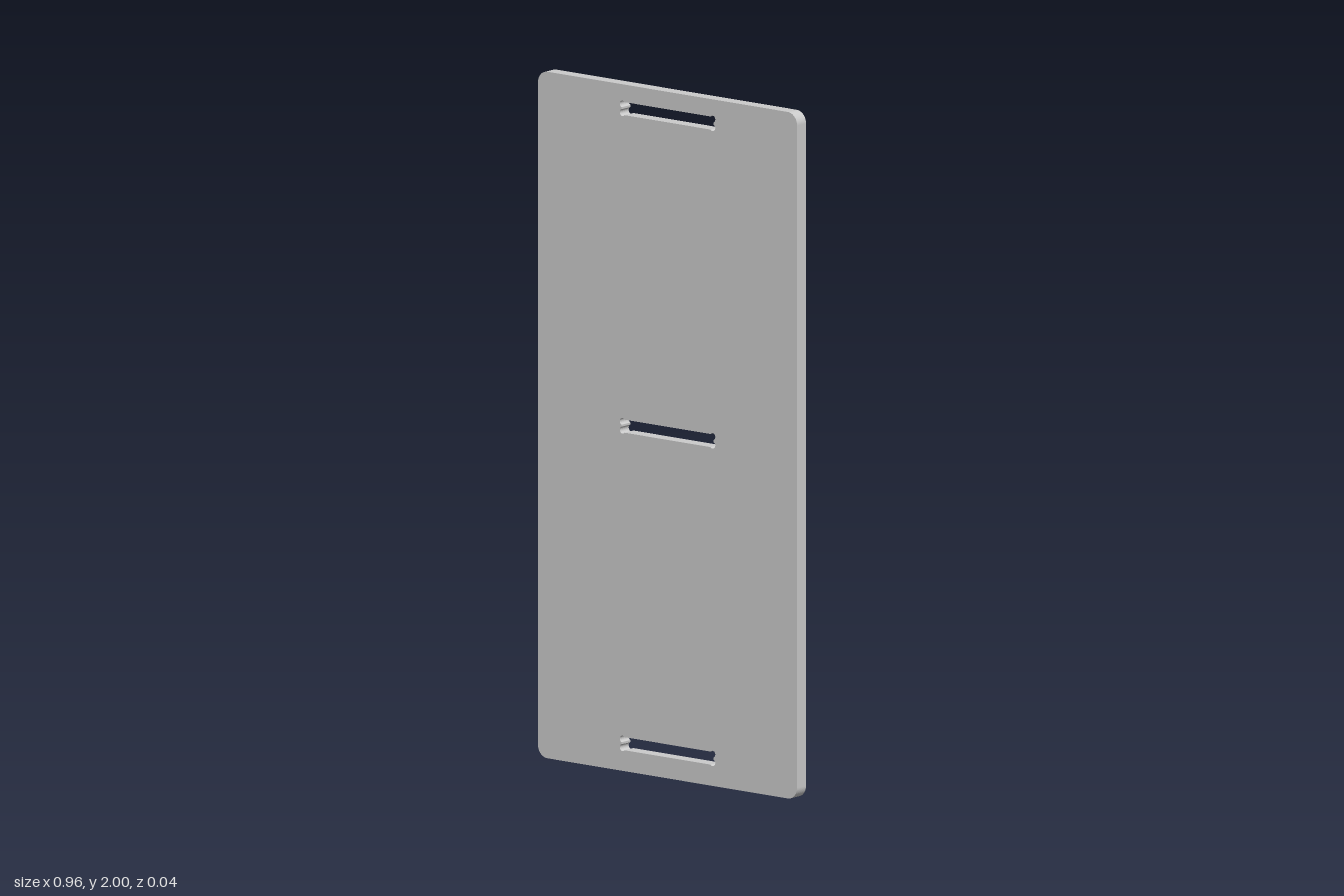
import * as THREE from 'three';

const HALF_W = 0.48, HEIGHT = 2, THICK = 0.04, CORNER = 0.035;

// Rounded rectangular outline standing on y = 0
function plateOutline() {
  const s = new THREE.Shape();
  const x = HALF_W - CORNER, q = Math.PI / 2;
  s.absarc(x, CORNER, CORNER, -q, 0);
  s.absarc(x, HEIGHT - CORNER, CORNER, 0, q);
  s.absarc(-x, HEIGHT - CORNER, CORNER, q, 2 * q);
  s.absarc(-x, CORNER, CORNER, 2 * q, 3 * q);
  s.closePath();
  return s;
}

// Narrow slot whose corners are relieved by small round cuts
function slot(y) {
  const p = new THREE.Path();
  const cx = 0.167, cy = 0.0125, r = 0.01;
  const a = -1.266, b = 2.434; // where each round cut meets the end and the long edge
  p.absarc(cx, y + cy, r, a, b);
  p.absarc(-cx, y + cy, r, Math.PI - b, Math.PI - a);
  p.absarc(-cx, y - cy, r, Math.PI + a, Math.PI + b);
  p.absarc(cx, y - cy, r, -b, -a);
  p.closePath();
  return p;
}

export function createModel() {
  const group = new THREE.Group();
  group.name = 'slottedPanel';

  const outline = plateOutline();
  for (const y of [0.08, 1.005, 1.93]) outline.holes.push(slot(y));

  const geometry = new THREE.ExtrudeGeometry(outline, {
    depth: THICK, bevelEnabled: false, curveSegments: 12,
  });
  geometry.translate(0, 0, -THICK / 2);

  const panel = new THREE.Mesh(geometry, new THREE.MeshStandardMaterial({ color: 0xcccccc }));
  panel.name = 'panel';
  group.add(panel);
  return group;
}
